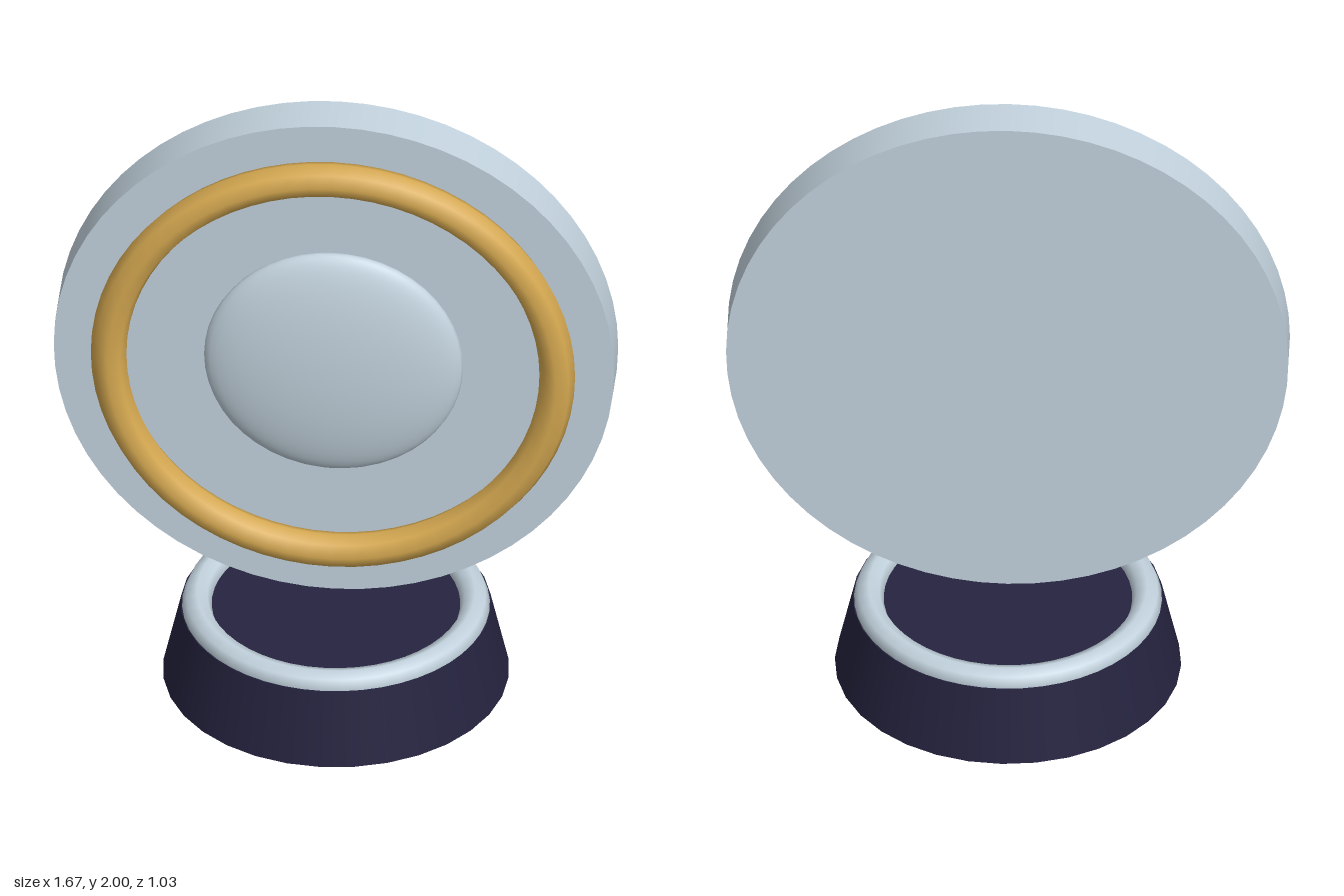
import * as THREE from 'three';

const silver = new THREE.MeshStandardMaterial({ name: 'silver', color: 0xc3d3de });
const gold = new THREE.MeshStandardMaterial({ name: 'gold', color: 0xd6a951 });
const navy = new THREE.MeshStandardMaterial({ name: 'navy', color: 0x25233f });

function addPart(parent, name, geometry, material, x = 0, y = 0, z = 0) {
  const mesh = new THREE.Mesh(geometry, material);
  mesh.name = name;
  mesh.position.set(x, y, z);
  parent.add(mesh);
  return mesh;
}

export function createModel() {
  const model = new THREE.Group();
  model.name = 'discOnStand';

  // Tapered stand with a ring around its top edge
  const stand = new THREE.Group();
  stand.name = 'stand';
  addPart(stand, 'standBase', new THREE.CylinderGeometry(0.46, 0.513, 0.235, 32), navy, 0, 0.1175, 0);
  const ring = new THREE.TorusGeometry(0.412, 0.044, 8, 48).rotateX(Math.PI / 2);
  addPart(stand, 'standRing', ring, silver, 0, 0.235, 0);
  model.add(stand);

  // Upright disc floating just above the stand
  const disc = new THREE.Group();
  disc.name = 'disc';
  disc.position.y = 1.167;
  const plate = new THREE.CylinderGeometry(0.833, 0.833, 0.134, 64).rotateX(Math.PI / 2);
  addPart(disc, 'discPlate', plate, silver);
  addPart(disc, 'goldRing', new THREE.TorusGeometry(0.667, 0.053, 8, 64), gold, 0, 0, 0.1);

  // Shallow dome in the middle of the front face
  const dome = new THREE.SphereGeometry(0.385, 40, 24).scale(1, 1, 0.2);
  addPart(disc, 'centreDome', dome, silver, 0, 0, 0.08);
  model.add(disc);

  return model;
}
